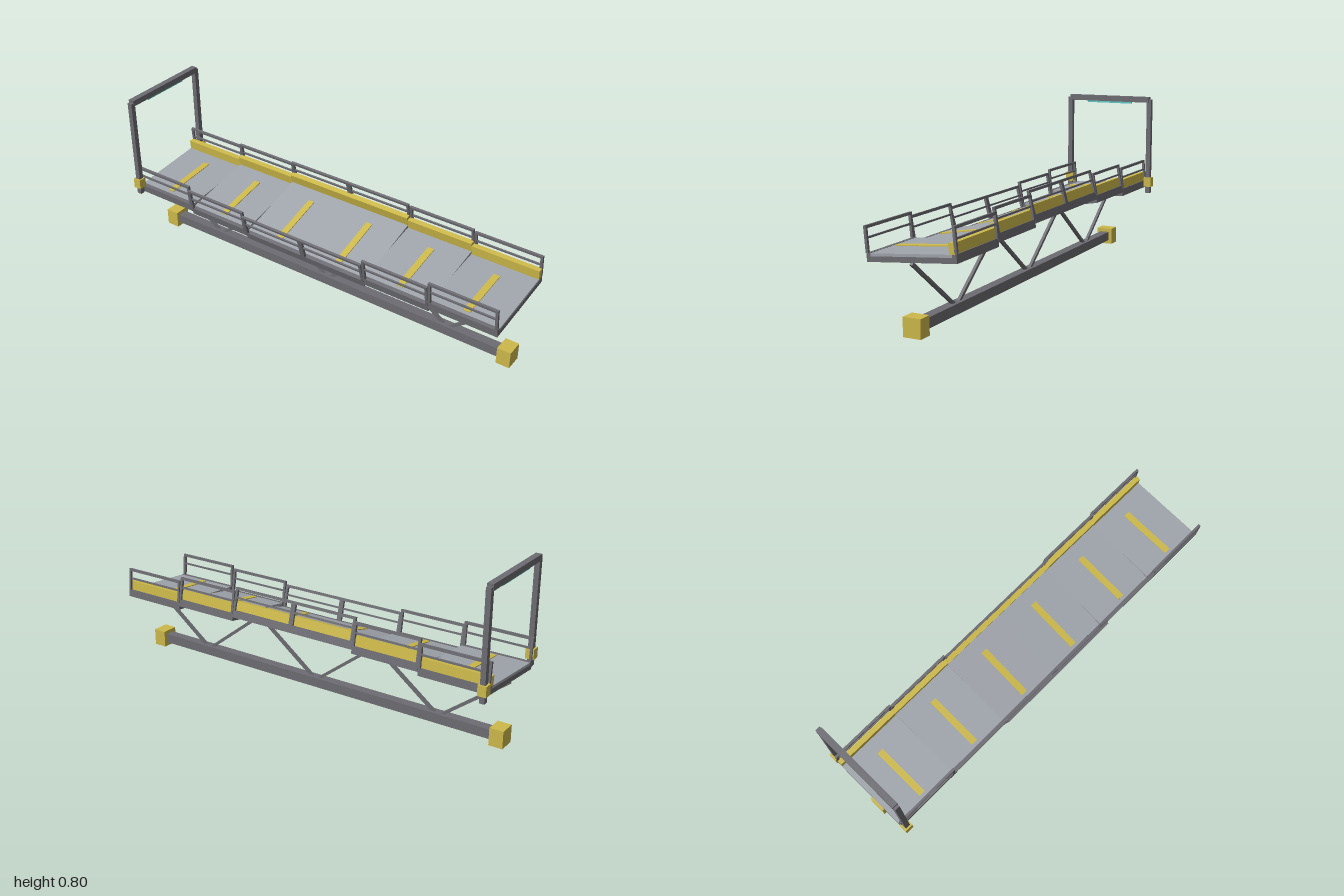
import * as THREE from 'three';

const paint = (name, color) => {
  const m = new THREE.MeshStandardMaterial({ color });
  m.name = name;
  return m;
};

export function createModel() {
  const steel = paint('darkSteel', 0x6c6c72);
  const plate = paint('deckPlate', 0xa0a5ac);
  const yellow = paint('safetyYellow', 0xcdb94a);
  const cyan = paint('cyanLight', 0x5cc8c8);

  const model = new THREE.Group();
  model.name = 'walkway';

  // Box given by its lower and upper limits on each axis
  const box = (parent, name, mat, [x0, x1], [y0, y1], [z0, z1]) => {
    const mesh = new THREE.Mesh(new THREE.BoxGeometry(x1 - x0, y1 - y0, z1 - z0), mat);
    mesh.position.set((x0 + x1) / 2, (y0 + y1) / 2, (z0 + z1) / 2);
    mesh.name = name;
    parent.add(mesh);
    return mesh;
  };

  // Six deck sections, each rolled about the long axis
  const L = 0.332, h = L / 2;
  [5, 10, 15, 15, 10, 5].forEach((roll, i) => {
    const s = new THREE.Group();
    s.name = 'deckSection' + (i + 1);
    s.position.set(0, 0.337, (2.5 - i) * L + 0.001);
    s.rotation.z = THREE.MathUtils.degToRad(roll);
    model.add(s);

    box(s, 'deckPanel', plate, [-0.187, 0.187], [-0.012, 0], [-h, h]);
    box(s, 'crossMark', yellow, [-0.168, 0.103], [0, 0.004], [-0.016, 0.016]);
    box(s, 'kerb', yellow, [0.174, 0.2], [0, 0.045], [-h, h]);

    // Cross beams under the panel
    for (const z of [-0.158, -0.055, 0.055, 0.158]) {
      box(s, 'crossBeam', steel, [-0.187, 0.187], [-0.035, -0.012], [z - 0.008, z + 0.008]);
    }

    // Side beams and handrails
    for (const side of [-1, 1]) {
      const u = side * 0.203;
      const x = [u - 0.006, u + 0.006];
      box(s, 'sideBeam', steel, [side * 0.196 - 0.01, side * 0.196 + 0.01], [-0.035, 0.001], [-h, h]);
      box(s, 'topRail', steel, x, [0.098, 0.11], [-h, h]);
      box(s, 'midRail', steel, [u - 0.004, u + 0.004], [0.056, 0.064], [-h, h]);
      for (const end of [-1, 1]) {
        const z = end * (h - 0.006);
        box(s, 'railPost', steel, x, [0, 0.1], [z - 0.006, z + 0.006]);
      }
    }
  });

  // Spine beam with end blocks
  box(model, 'spineBeam', steel, [-0.023, 0.023], [0.019, 0.065], [-0.95, 0.95]);
  box(model, 'endBlock', yellow, [-0.041, 0.041], [0, 0.083], [0.932, 0.998]);
  box(model, 'endBlock', yellow, [-0.041, 0.041], [0, 0.083], [-0.995, -0.929]);

  // Zigzag struts between spine and deck
  for (let i = 0; i < 6; i++) {
    const z0 = 0.99 - i * 0.33, z1 = z0 - 0.33;
    const y0 = i % 2 ? 0.045 : 0.298, y1 = i % 2 ? 0.298 : 0.045;
    const len = Math.hypot(z1 - z0, y1 - y0);
    const strut = box(model, 'strut', steel, [-0.007, 0.007], [-0.007, 0.007], [-len / 2, len / 2]);
    strut.position.set(0, (y0 + y1) / 2, (z0 + z1) / 2);
    strut.rotation.x = Math.atan2(y1 - y0, z0 - z1);
  }

  // Portal frame at the back end
  const portal = new THREE.Group();
  portal.name = 'portal';
  model.add(portal);
  for (const side of [-1, 1]) {
    const c = side * 0.2275;
    box(portal, 'portalPost', steel, [c - 0.012, c + 0.012], [0.291, 0.79], [-0.991, -0.967]);
    box(portal, 'portalClamp', yellow, [c - 0.02, c + 0.02], [0.325, 0.374], [-1, -0.96]);
  }
  box(portal, 'portalBeam', steel, [-0.227, 0.227], [0.774, 0.803], [-0.994, -0.965]);
  box(portal, 'portalLight', cyan, [-0.124, 0.124], [0.765, 0.774], [-0.987, -0.971]);

  return model;
}
